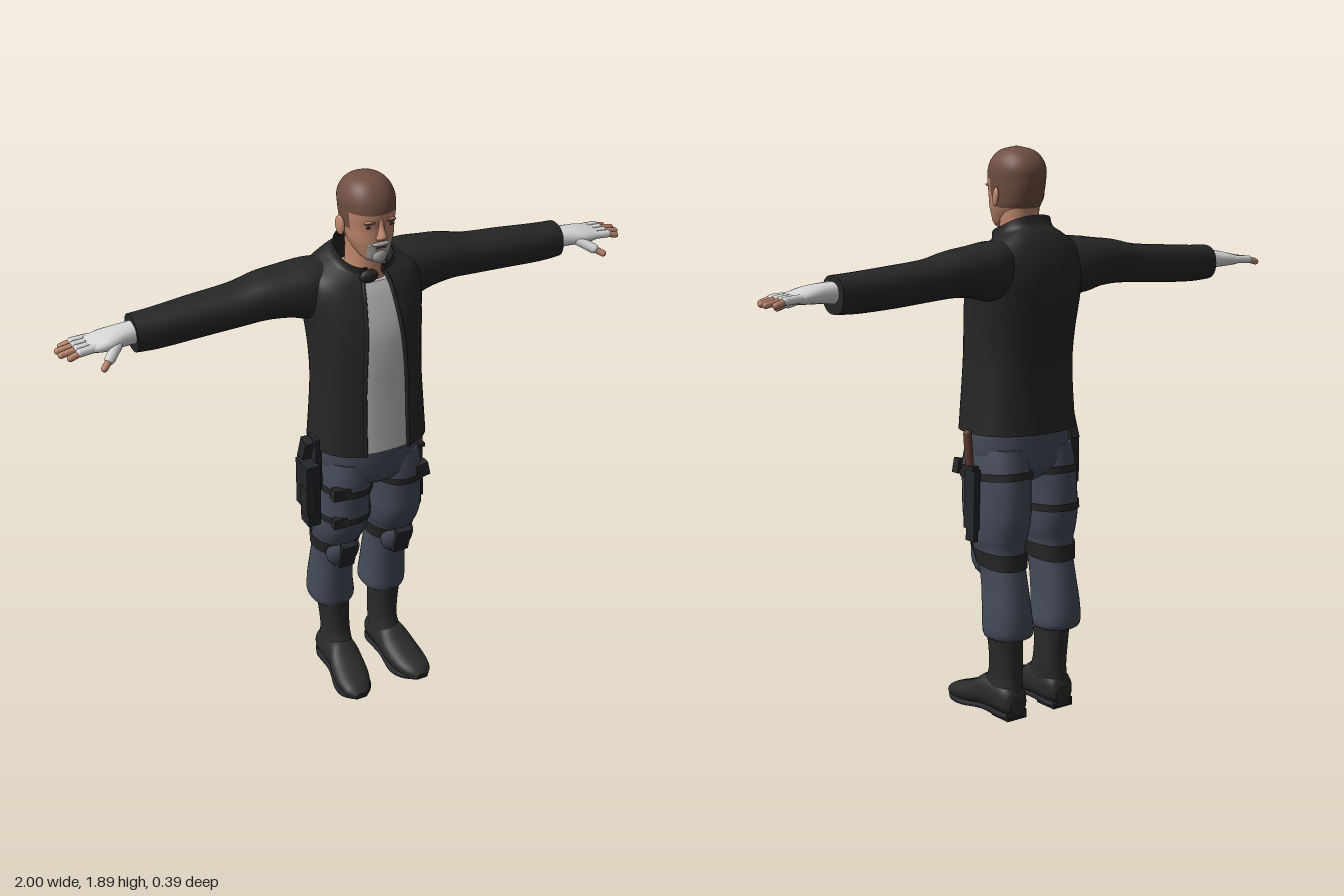
import * as THREE from 'three';

const mat = (name, color, double) => {
  const m = new THREE.MeshStandardMaterial({ color });
  m.name = name;
  if (double) m.side = THREE.DoubleSide;
  return m;
};

// Interpolates rows smoothly, "steps" rows per span
function refine(rows, steps) {
  const out = [], at = i => rows[Math.min(Math.max(i, 0), rows.length - 1)];
  for (let i = 0; i < rows.length - 1; i++) {
    const [a, b, c, d] = [at(i - 1), at(i), at(i + 1), at(i + 2)];
    for (let s = 0; s < steps; s++) {
      const t = s / steps;
      out.push(b.map((v, k) => {
        const cubic = 3 * (v - c[k]) + d[k] - a[k];
        const square = 2 * a[k] - 5 * v + 4 * c[k] - d[k];
        return v + 0.5 * t * (c[k] - a[k] + t * (square + t * cubic));
      }));
    }
  }
  out.push(rows[rows.length - 1]);
  return out;
}

// Lofts superellipse sections along an axis. Row: [t, u0, u1, v0, v1, gap, tilt]
// (axis y: u = x, v = z; axis x: u = z, v = y; axis z: u = y, v = x)
const AXES = { y: [0, 1, 2], x: [2, 0, 1], z: [1, 2, 0] };
function loft(axis, rows, { n = 28, p = 2.3, steps = 4, open = false, caps = true } = {}) {
  const [U, T, V] = AXES[axis], pos = [], idx = [], secs = refine(rows, steps), w = n + 1;
  const shape = v => Math.sign(v) * Math.abs(v) ** (2 / p);
  const put = (u, t, v) => { const q = []; q[U] = u; q[T] = t; q[V] = v; pos.push(...q); };
  const ring = ([t, u0, u1, v0, v1, gap = 0, tilt = 0]) => {
    const a = (u1 - u0) / 2, b = (v1 - v0) / 2;
    const start = open ? Math.asin(Math.min(1, gap / a) ** (p / 2)) : 0;
    for (let j = 0; j <= n; j++) {
      const f = start + (j / n) * (Math.PI * 2 - 2 * start);
      put((u0 + u1) / 2 + a * shape(Math.sin(f)), t - tilt * Math.cos(f), (v0 + v1) / 2 + b * shape(Math.cos(f)));
    }
  };
  secs.forEach(ring);
  const col = j => (open ? j : j % n);
  for (let i = 0; i < secs.length - 1; i++) for (let j = 0; j < n; j++) {
    const a = i * w + col(j), b = i * w + col(j + 1);
    idx.push(a, b, a + w, b, b + w, a + w);
  }
  if (caps) [secs[0], secs[secs.length - 1]].forEach((s, end) => {
    const base = pos.length / 3;
    ring(s);
    put((s[1] + s[2]) / 2, s[0], (s[3] + s[4]) / 2);
    for (let j = 0; j < n; j++) idx.push(base + w, base + (end ? j : j + 1), base + (end ? j + 1 : j));
  });
  const g = new THREE.BufferGeometry();
  g.setAttribute('position', new THREE.Float32BufferAttribute(pos, 3));
  g.setIndex(idx);
  g.computeVertexNormals();
  return g;
}

function mirrored(geo) {
  const g = geo.clone().scale(-1, 1, 1), a = g.index.array;
  for (let i = 0; i < a.length; i += 3) [a[i], a[i + 1]] = [a[i + 1], a[i]];
  return g;
}

// Sorts triangles into material groups by their centre
function paint(geo, count, pick) {
  const p = geo.attributes.position.array, a = geo.index.array, bins = Array.from({ length: count }, () => []);
  for (let i = 0; i < a.length; i += 3) {
    const tri = [a[i], a[i + 1], a[i + 2]];
    const centre = [0, 1, 2].map(k => tri.reduce((sum, v) => sum + p[v * 3 + k] / 3, 0));
    bins[pick(...centre)].push(...tri);
  }
  geo.setIndex(bins.flat());
  let s = 0;
  bins.forEach((b, k) => { geo.addGroup(s, b.length, k); s += b.length; });
  return geo;
}

const box = (w, h, d, x, y, z, rx = 0, rz = 0) => new THREE.BoxGeometry(w, h, d).rotateX(rx).rotateZ(rz).translate(x, y, z);
const ball = (a, b, c, x, y, z) => new THREE.SphereGeometry(1, 20, 14).scale(a, b, c).translate(x, y, z);
function rod(from, to, r) {
  const a = new THREE.Vector3(...from), b = new THREE.Vector3(...to), d = b.clone().sub(a);
  const q = new THREE.Quaternion().setFromUnitVectors(new THREE.Vector3(0, 1, 0), d.clone().normalize());
  return new THREE.CapsuleGeometry(r, d.length(), 4, 10).applyQuaternion(q).translate(...a.add(b).multiplyScalar(0.5).toArray());
}

export function createModel() {
  const root = new THREE.Group();
  root.name = 'standingMan';
  const jacket = mat('jacketBlack', 0x262626, true), shirt = mat('shirtGrey', 0xbcbcbc), trousers = mat('trouserBlue', 0x434a58);
  const boot = mat('bootBlack', 0x2a2a28), gear = mat('gearDark', 0x22252a), skin = mat('skin', 0xbd866c);
  const hair = mat('hairBrown', 0x6f4e41), beard = mat('beardGrey', 0xa8a6a2), glove = mat('gloveWhite', 0xd6d6d6);
  const wood = mat('handleBrown', 0x5c382c);
  const add = (name, geo, m) => {
    const mesh = new THREE.Mesh(geo, m);
    mesh.name = name;
    root.add(mesh);
  };
  const pair = (name, geo, m) => { add(name + 'Left', geo, m); add(name + 'Right', mirrored(geo), m); };

  // Jacket body, open down the front, with a standing collar
  const body = [
    [0.97, -0.197, 0.197, -0.165, 0.157, 0.078, 0], [1.1, -0.187, 0.187, -0.16, 0.151, 0.076, 0],
    [1.2, -0.181, 0.181, -0.162, 0.147, 0.075, 0], [1.3, -0.182, 0.182, -0.175, 0.143, 0.07, 0],
    [1.4, -0.19, 0.19, -0.19, 0.13, 0.062, 0], [1.5, -0.2, 0.2, -0.19, 0.095, 0.052, 0],
    [1.56, -0.185, 0.185, -0.172, 0.068, 0.045, 0.01], [1.595, -0.13, 0.13, -0.145, 0.055, 0.035, 0.025],
    [1.61, -0.1, 0.1, -0.118, 0.055, 0.03, 0.035], [1.635, -0.094, 0.094, -0.108, 0.058, 0.032, 0.04]];
  const coat = loft('y', body, { n: 44, p: 2.4, open: true, caps: false });
  add('jacketBody', coat, jacket);
  for (const [side, j] of [['Left', 0], ['Right', 44]]) {
    const p = coat.attributes.position, pts = [];
    for (let i = j; i < p.count; i += 45) pts.push(new THREE.Vector3().fromBufferAttribute(p, i));
    add('jacketEdge' + side, new THREE.TubeGeometry(new THREE.CatmullRomCurve3(pts), 60, 0.007, 6), jacket);
  }
  add('collarFlap', ball(0.032, 0.022, 0.016, -0.025, 1.572, 0.066), jacket);
  add('shirt', loft('y', [...body.slice(0, 6).map(r => r.slice(0, 5)), [1.545, -0.15, 0.15, -0.15, 0.072]].map(
    ([y, x0, x1, z0, z1]) => [y + 0.004, x0 + 0.012, x1 - 0.012, z0 + 0.012, z1 - 0.006]), { n: 36, p: 2.4 }), shirt);

  // Sleeves
  pair('sleeve', loft('x', [
    [0.08, -0.14, 0.0, 1.46, 1.595], [0.17, -0.175, 0.02, 1.41, 1.598], [0.25, -0.18, 0.012, 1.425, 1.588],
    [0.33, -0.177, 0.0, 1.432, 1.578], [0.42, -0.17, -0.01, 1.427, 1.558], [0.55, -0.166, -0.02, 1.418, 1.547],
    [0.68, -0.155, -0.025, 1.412, 1.537], [0.757, -0.15, -0.03, 1.415, 1.533]]), jacket);

  // Gloved hands with bare fingertips
  pair('glove', loft('x', [
    [0.74, -0.125, -0.045, 1.445, 1.515], [0.79, -0.125, -0.035, 1.45, 1.512], [0.84, -0.133, -0.022, 1.452, 1.505],
    [0.88, -0.134, -0.026, 1.455, 1.495], [0.905, -0.13, -0.035, 1.46, 1.488]], { n: 20 }), glove);
  [[-0.12, -0.126, 0.972], [-0.096, -0.1, 0.99], [-0.07, -0.07, 0.988], [-0.045, -0.038, 0.97]].forEach(([z0, z1, tip], i) => {
    pair('gloveFinger' + i, rod([0.885, 1.476, z0], [0.938, 1.473, (z0 + z1) / 2], 0.0135), glove);
    pair('fingertip' + i, rod([0.935, 1.473, (z0 + z1) / 2], [tip, 1.463, z1], 0.0105), skin);
  });
  pair('gloveThumb', rod([0.82, 1.472, -0.04], [0.86, 1.45, -0.002], 0.0165), glove);
  pair('thumbTip', rod([0.86, 1.45, -0.002], [0.885, 1.435, 0.018], 0.011), skin);

  // Neck and head, with cropped hair and a short beard as painted regions
  add('neck', loft('y', [[1.5, -0.075, 0.075, -0.09, 0.05], [1.56, -0.066, 0.066, -0.085, 0.054],
    [1.62, -0.06, 0.06, -0.075, 0.05], [1.7, -0.062, 0.062, -0.078, 0.04]]), skin);
  const head = loft('y', [
    [1.625, -0.025, 0.025, 0.035, 0.082], [1.64, -0.045, 0.045, 0.0, 0.093], [1.67, -0.062, 0.062, -0.055, 0.098],
    [1.7, -0.074, 0.074, -0.083, 0.1], [1.74, -0.08, 0.08, -0.098, 0.099], [1.78, -0.084, 0.084, -0.105, 0.103],
    [1.82, -0.085, 0.085, -0.105, 0.097], [1.853, -0.073, 0.073, -0.088, 0.08], [1.877, -0.048, 0.048, -0.058, 0.052],
    [1.889, -0.004, 0.004, -0.006, 0.004]], { n: 56, p: 2.2, steps: 6 });
  add('head', paint(head, 3, (x, y, z) => {
    if (y > (z > 0.035 ? 1.787 : z > 0.005 ? 1.73 : 1.695)) return 1;
    return z > 0.05 && y < 1.692 && Math.abs(x) < 0.04 ? 2 : 0;
  }), [skin, hair, beard]);
  add('goatee', ball(0.026, 0.026, 0.018, 0, 1.648, 0.086), beard);
  add('mouth', box(0.034, 0.005, 0.006, 0, 1.678, 0.0985), hair);
  add('moustache', ball(0.03, 0.008, 0.01, 0, 1.69, 0.098), beard);
  add('nose', loft('y', [[1.703, -0.013, 0.013, 0.08, 0.108], [1.712, -0.018, 0.018, 0.08, 0.12],
    [1.722, -0.014, 0.014, 0.08, 0.125], [1.745, -0.009, 0.009, 0.08, 0.112], [1.77, -0.01, 0.01, 0.08, 0.103]], { n: 16 }), skin);
  pair('brow', ball(0.022, 0.007, 0.009, 0.033, 1.763, 0.092), skin);
  pair('eyebrow', ball(0.02, 0.0035, 0.008, 0.034, 1.764, 0.0945), hair);
  pair('eye', ball(0.013, 0.004, 0.004, 0.034, 1.747, 0.0895), gear);
  pair('ear', ball(0.009, 0.032, 0.019, 0, 0, 0).rotateY(-0.35).rotateX(-0.15).translate(0.089, 1.73, -0.006), skin);

  // Trousers
  add('hips', loft('y', [[0.8, -0.05, 0.05, -0.08, 0.05], [0.84, -0.14, 0.14, -0.135, 0.115],
    [0.9, -0.177, 0.177, -0.147, 0.13], [1.0, -0.175, 0.175, -0.145, 0.13]], { n: 36 }), trousers);
  const legRows = [
    [0.275, 0.05, 0.155, -0.14, -0.01], [0.295, 0.022, 0.178, -0.17, 0.0], [0.36, 0.028, 0.178, -0.17, 0.005],
    [0.45, 0.033, 0.171, -0.155, 0.015], [0.52, 0.034, 0.17, -0.14, 0.03], [0.58, 0.029, 0.176, -0.135, 0.06],
    [0.62, 0.016, 0.186, -0.142, 0.085], [0.68, 0.008, 0.19, -0.155, 0.112], [0.76, 0.007, 0.187, -0.156, 0.12],
    [0.84, 0.003, 0.184, -0.15, 0.126], [0.92, 0.003, 0.17, -0.14, 0.118]];
  pair('trouserLeg', loft('y', legRows), trousers);

  // Straps wrap the leg by following its own sections
  const legAt = (y, grow) => {
    const i = legRows.findIndex(r => r[0] >= y), a = legRows[i - 1], b = legRows[i], t = (y - a[0]) / (b[0] - a[0]);
    return a.map((v, k) => v + (b[k] - v) * t + (k === 0 ? 0 : k % 2 ? -grow : grow));
  };
  const strap = (y0, y1, tilt) => loft('y', [y0, (y0 + y1) / 2, y1].map(y => [...legAt(y, 0.006), 0, tilt]), { caps: false });
  pair('kneeStrap', strap(0.525, 0.58, -0.008), jacket);
  pair('thighStrap', strap(0.815, 0.84, 0.01), jacket);
  add('lowerThighStrapRight', mirrored(strap(0.695, 0.72, 0)), jacket);

  // Knee pads
  pair('kneePad', ball(0.06, 0.075, 0.042, 0, 0, 0).rotateX(0.3).translate(0.104, 0.54, 0.025), trousers);
  pair('kneePlate', box(0.055, 0.1, 0.03, 0.104, 0.54, 0.057, 0.3), gear);

  // Boots with soles and heels
  pair('bootShaft', loft('y', [[0.06, 0.05, 0.148, -0.135, 0.06], [0.1, 0.048, 0.145, -0.132, 0.035],
    [0.15, 0.048, 0.14, -0.13, 0.005], [0.22, 0.048, 0.145, -0.132, -0.003], [0.3, 0.046, 0.155, -0.134, 0.0]]), boot);
  pair('bootFoot', loft('z', [
    [-0.136, 0.02, 0.08, 0.065, 0.13], [-0.11, 0.012, 0.12, 0.05, 0.148], [0.0, 0.012, 0.135, 0.044, 0.155],
    [0.06, 0.01, 0.1, 0.043, 0.168], [0.12, 0.008, 0.076, 0.052, 0.173], [0.17, 0.01, 0.058, 0.072, 0.165],
    [0.198, 0.02, 0.038, 0.1, 0.14]]), boot);
  pair('sole', loft('z', [[-0.136, 0.006, 0.026, 0.062, 0.132], [-0.1, 0.006, 0.026, 0.048, 0.15],
    [0.0, 0.01, 0.028, 0.05, 0.152], [0.09, 0.003, 0.022, 0.042, 0.174], [0.15, 0.006, 0.026, 0.058, 0.172],
    [0.198, 0.018, 0.032, 0.098, 0.142]], { n: 24, p: 5 }), gear);
  pair('heel', box(0.08, 0.03, 0.09, 0.098, 0.015, -0.087), gear);

  // Knife and sheath on the left thigh
  add('sheath', box(0.022, 0.2, 0.058, 0.203, 0.755, -0.025, 0, 0.03), gear);
  add('sheathTip', box(0.018, 0.05, 0.044, 0.207, 0.64, -0.03, 0, 0.03), gear);
  add('knifeGuard', box(0.026, 0.014, 0.06, 0.205, 0.86, -0.02), jacket);
  add('knifeHandle', rod([0.205, 0.87, -0.015], [0.207, 0.97, -0.008], 0.014), wood);
  add('strapPouch', box(0.06, 0.05, 0.03, 0.145, 0.835, 0.105, 0, 0.2), jacket);

  // Holster, pistol and buckles on the right thigh
  add('holsterHanger', box(0.022, 0.19, 0.06, -0.195, 0.91, 0.01), gear);
  add('holsterBody', box(0.05, 0.17, 0.085, -0.223, 0.835, 0.015), gear);
  add('holsterMuzzle', box(0.045, 0.09, 0.06, -0.218, 0.73, 0.02), gear);
  add('holsterPouch', box(0.035, 0.1, 0.05, -0.235, 0.79, 0.04), jacket);
  add('pistolGrip', box(0.035, 0.1, 0.04, -0.218, 0.95, -0.01, 0.35), jacket);
  add('upperBuckle', box(0.07, 0.04, 0.03, -0.145, 0.825, 0.108, 0, -0.1), jacket);
  add('lowerBuckle', box(0.06, 0.035, 0.025, -0.145, 0.708, 0.1), jacket);
  return root;
}
